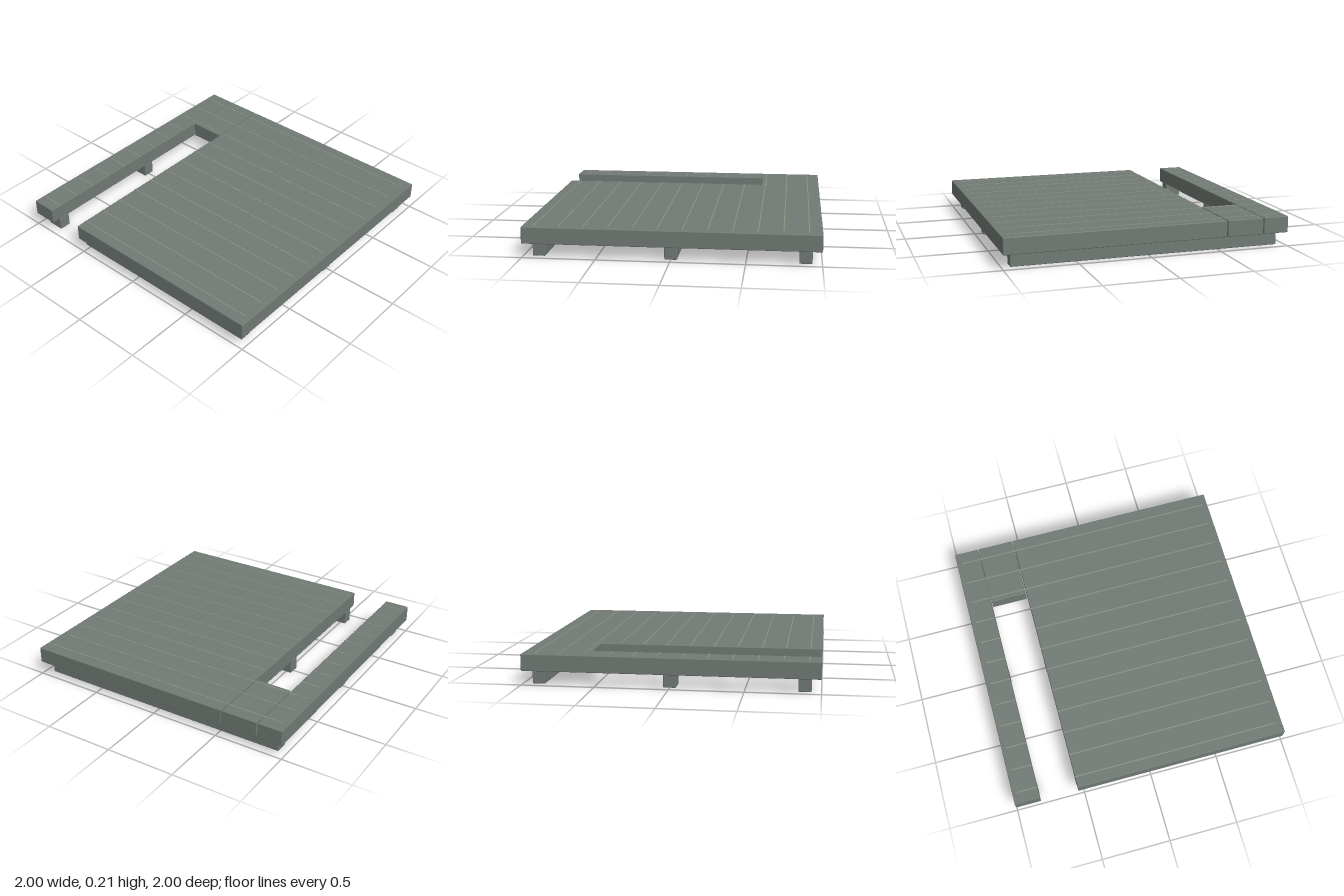
import * as THREE from 'three';
import { RoundedBoxGeometry } from 'three/addons/geometries/RoundedBoxGeometry.js';

const wood = new THREE.MeshStandardMaterial({ color: 0x717a75 });
const seam = new THREE.MeshStandardMaterial({ color: 0x8c9080 });

export function createModel() {
  const model = new THREE.Group();

  // Block with finely eased edges, given by its extents
  function block(name, [x0, x1], [y0, y1], [z0, z1]) {
    const geometry = new RoundedBoxGeometry(x1 - x0, y1 - y0, z1 - z0, 1, 0.005);
    const mesh = new THREE.Mesh(geometry, wood);
    mesh.position.set((x0 + x1) / 2, (y0 + y1) / 2, (z0 + z1) / 2);
    mesh.name = name;
    model.add(mesh);
  }

  // Thin strip marking the joint between two planks
  function strip(x, z0, z1) {
    const mesh = new THREE.Mesh(new THREE.BoxGeometry(0.008, 0.006, z1 - z0), seam);
    mesh.position.set(x, 0.211, (z0 + z1) / 2);
    mesh.name = 'plankSeam';
    model.add(mesh);
  }

  // Deck: main platform, rear bar and the bridge that joins them on the left
  const deckY = [0.097, 0.212];
  block('mainDeck', [-1, 1], deckY, [-0.543, 1]);
  block('rearBar', [-1, 1], deckY, [-1, -0.818]);
  block('bridge', [0.547, 1], deckY, [-0.813, -0.549]);

  // Plank seams, interrupted by the opening
  for (let i = 0; i < 12; i++) {
    const x = -0.92 + i * 0.1665;
    strip(x, -0.543, 0.96);
    strip(x, -0.965, -0.818);
    if (x > 0.547) strip(x, -0.813, -0.549);
  }

  // Runners underneath: the left one is continuous, the others stop at the opening
  for (const x of [-0.893, 0, 0.893]) {
    const width = [x - 0.043, x + 0.043];
    const height = [0, 0.098];
    if (x > 0.5) {
      block('runner', width, height, [-0.943, 0.943]);
    } else {
      block('runner', width, height, [-0.543, 0.943]);
      block('rearRunner', width, height, [-0.943, -0.818]);
    }
  }
  return model;
}
